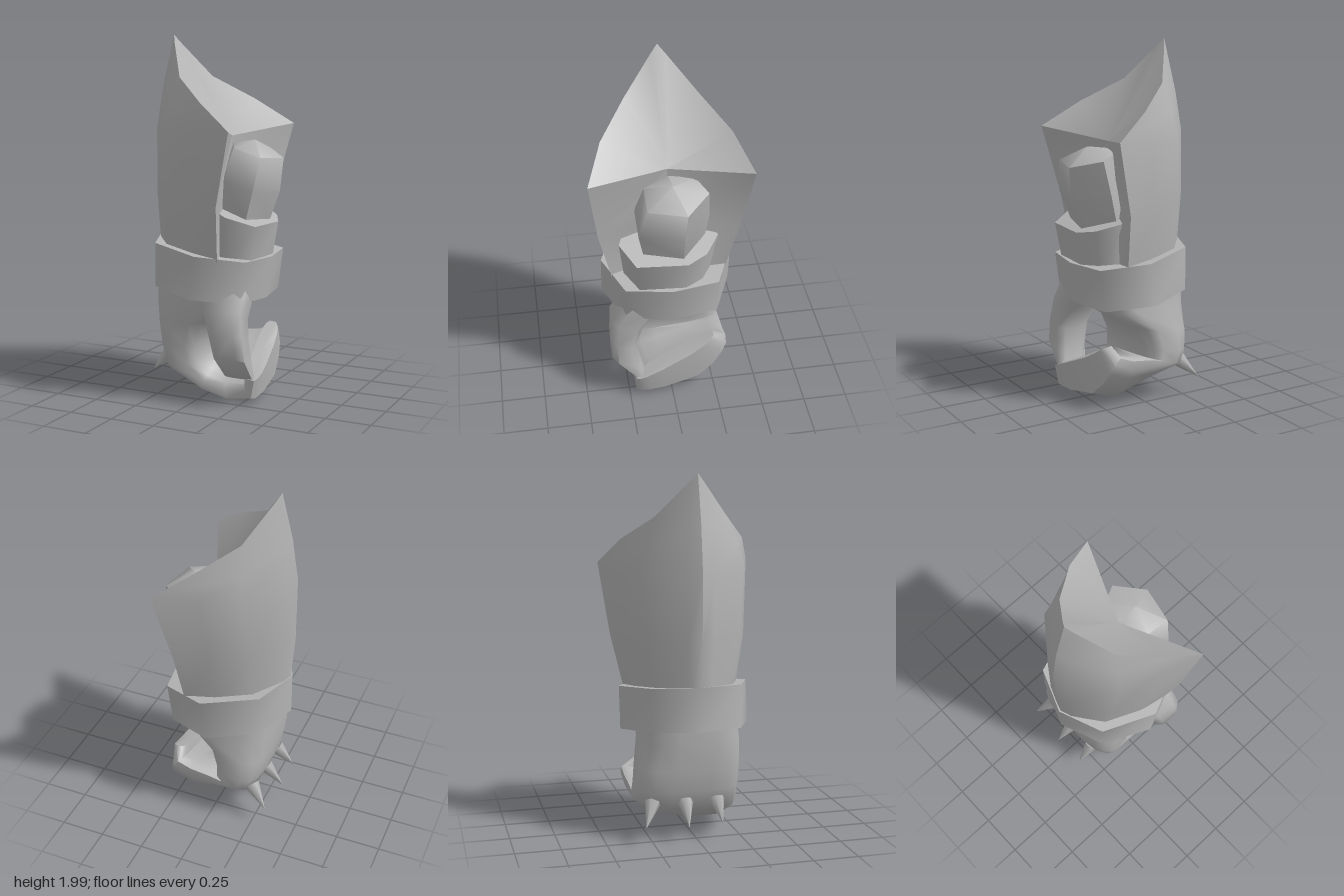
import * as THREE from 'three';
import { toCreasedNormals } from 'three/addons/utils/BufferGeometryUtils.js';

const V = (x, y, z) => new THREE.Vector3(x, y, z);

// Skin closed rings of points into a solid; caps fan out from a ring point or from the middle.
function loft(rings, crease, capIndex = -1) {
  const n = rings[0].length, tris = [];
  for (let r = 0; r < rings.length - 1; r++) {
    for (let i = 0; i < n; i++) {
      const j = (i + 1) % n;
      const [a, b, c, d] = [rings[r][i], rings[r][j], rings[r + 1][j], rings[r + 1][i]];
      tris.push([a, b, c], [a, c, d]);
    }
  }
  const cap = (ring, flip) => {
    const mid = capIndex < 0
      ? ring.reduce((s, p) => s.add(p), V(0, 0, 0)).divideScalar(n)
      : ring[capIndex];
    ring.forEach((p, i) => {
      const q = ring[(i + 1) % n];
      tris.push(flip ? [mid, q, p] : [mid, p, q]);
    });
  };
  cap(rings[0], true);
  cap(rings[rings.length - 1], false);
  const solid = tris.filter(([a, b, c]) => a.distanceTo(b) * b.distanceTo(c) * c.distanceTo(a) > 1e-9);
  // Turn the corners round when the solid came out inside out.
  const volume = solid.reduce((s, [a, b, c]) => s + a.dot(b.clone().cross(c)), 0);
  const points = solid.flatMap(([a, b, c]) => (volume < 0 ? [a, c, b] : [a, b, c]));
  const g = new THREE.BufferGeometry().setFromPoints(points);
  return toCreasedNormals(g, crease);
}

// Rounded-box cross-section with half axes u and v; bulge lowers the outer (+u) side.
function roundRing(c, u, v, n, bulge = 0) {
  const soft = t => Math.sign(t) * Math.abs(t) ** 0.6;
  return Array.from({ length: n }, (_, i) => {
    const a = ((i + 0.5) / n) * Math.PI * 2;
    const s = soft(Math.cos(a)), t = soft(Math.sin(a));
    const p = c.clone().addScaledVector(u, s).addScaledVector(v, t);
    p.y -= bulge * Math.max(s, 0) * (1 - t * t) * (1 - t) / 2;
    return p;
  });
}

export function createModel() {
  const group = new THREE.Group();
  const steel = new THREE.MeshStandardMaterial({ color: 0xb4b4b4 });
  steel.name = 'grey steel';
  const add = (name, geometry) => {
    const mesh = new THREE.Mesh(geometry, steel);
    mesh.name = name;
    group.add(mesh);
    return mesh;
  };

  // Forearm guard: half outlines from the ridge to the side corner, then the inner middle.
  const guardRows = [
    [[-0.34, 0.75, 0], [-0.32, 0.75, 0.06], [-0.21, 0.75, 0.2], [-0.02, 0.75, 0.28], [0.15, 0.75, 0.31], [0.16, 0.75, 0]],
    [[-0.37, 1.13, 0], [-0.345, 1.13, 0.07], [-0.2, 1.12, 0.26], [0, 1.1, 0.34], [0.18, 1.1, 0.39], [0.06, 1.1, 0]],
    [[-0.37, 1.5, 0], [-0.343, 1.49, 0.07], [-0.17, 1.48, 0.29], [0.05, 1.48, 0.355], [0.275, 1.5, 0.44], [0.09, 1.45, 0]],
    [[-0.335, 1.74, 0], [-0.308, 1.71, 0.06], [-0.155, 1.62, 0.255], [0.06, 1.57, 0.355], [0.275, 1.5, 0.44], [0.09, 1.45, 0]],
    [[-0.27, 2, 0], [-0.245, 1.955, 0.04], [-0.13, 1.77, 0.2], [0.07, 1.64, 0.35], [0.275, 1.5, 0.44], [0.09, 1.45, 0]],
  ];
  const guardRings = guardRows.map(row => {
    const half = row.map(p => V(...p));
    const mirrored = [4, 3, 2, 1].map(i => V(half[i].x, half[i].y, -half[i].z));
    return [...half, ...mirrored];
  });
  add('forearmGuard', loft(guardRings, 0.7, 5));

  // Wrist cuff, tilted down toward the palm side
  const cuffOutline = [[-0.36, 0], [-0.26, 0.25], [0.03, 0.37], [0.28, 0.26],
    [0.32, 0], [0.28, -0.26], [0.03, -0.37], [-0.26, -0.25]];
  const cuffRing = (y, tilt, grow) =>
    cuffOutline.map(([x, z]) => V(x + (x > 0 ? grow : 0), y - tilt * (x + 0.36), z));
  add('wristCuff', loft([cuffRing(0.63, 0.1, -0.02), cuffRing(0.875, 0.12, 0.01)], 1.1));

  // Collar around the inner arm
  const collarOutline = [[0.32, 0.2], [0.335, -0.08], [0.28, -0.19], [0.17, -0.27],
    [0, -0.2], [0, 0.2], [0.18, 0.28]];
  const collarRing = (y, tilt, s, dx) =>
    collarOutline.map(([x, z]) => V(x + dx, y - tilt * (x - 0.18), z * s));
  add('armCollar', loft([collarRing(0.72, 0, 0.87, -0.04), collarRing(1.035, 0.37, 1, 0)], 1.1));

  // Inner arm, leaning outward, with a low pointed top
  const armOutline = [[0.15, -0.05], [0.1, 0.165], [-0.06, 0.165], [-0.13, 0.02], [-0.1, -0.13], [0.01, -0.19]];
  const armRing = (y, s, cx, cz) =>
    armOutline.map(([x, z]) => V(cx + x * s, y - x * s * 0.3, cz + z * s));
  add('innerArm', loft([
    armRing(0.8, 0.92, 0.12, -0.01), armRing(1.04, 1, 0.145, -0.01), armRing(1.2, 1.12, 0.185, 0),
    armRing(1.375, 0.96, 0.225, -0.02), armRing(1.43, 0.02, 0.225, -0.01),
  ], 1.05));

  // Hand: outer x,y, inner x,y, z from, z to, slope in y, lean in x along z, bulge; wrist to fingertips
  const handRows = [
    [-0.3, 0.68, 0.27, 0.64, -0.27, 0.27, 0, 0, 0],
    [-0.3, 0.53, 0.22, 0.53, -0.275, 0.28, 0, 0, 0],
    [-0.29, 0.4, 0.06, 0.44, -0.31, 0.27, 0, 0, 0],
    [-0.27, 0.28, 0.01, 0.32, -0.325, 0.26, 0, 0, 0],
    [-0.23, 0.18, 0.01, 0.25, -0.33, 0.25, 0.1, 0, 0.02],
    [0, 0.11, 0.04, 0.23, -0.33, 0.23, 0.3, 0, 0.1],
    [0.15, 0.09, 0.13, 0.22, -0.33, 0.215, 0.4, 0.04, 0.16],
    [0.3, 0.13, 0.21, 0.23, -0.33, 0.215, 0.44, 0.12, 0.16],
    [0.32, 0.25, 0.22, 0.26, -0.25, 0.215, 0.48, 0.15, 0.03],
  ];
  add('fist', loft(handRows.map(([ox, oy, ix, iy, z0, z1, slope, lean, bulge]) => {
    const half = (z1 - z0) / 2;
    return roundRing(
      V((ox + ix) / 2, (oy + iy) / 2, (z0 + z1) / 2),
      V((ox - ix) / 2, (oy - iy) / 2, 0),
      V(lean * half, -slope * half, half), 16, bulge);
  }), 1.0));

  // Thumb: centre x,y,z, then half width in x and half depth in z
  const thumbRows = [
    [0.16, 0.64, 0.15, 0.12, 0.1],
    [0.17, 0.5, 0.25, 0.115, 0.09],
    [0.2, 0.38, 0.275, 0.105, 0.075],
    [0.22, 0.25, 0.262, 0.095, 0.088],
    [0.23, 0.14, 0.19, 0.085, 0.04],
  ];
  add('thumb', loft(thumbRows.map(([x, y, z, w, d]) =>
    roundRing(V(x, y, z), V(w, 0, 0), V(0, d * 0.4, d), 8)), 1.1));

  // Knuckle spikes, from base to tip
  const spikes = [
    [V(-0.22, 0.22, -0.24), V(-0.325, 0.11, -0.3)],
    [V(-0.235, 0.22, -0.06), V(-0.35, 0.105, -0.065)],
    [V(-0.235, 0.22, 0.12), V(-0.345, 0.11, 0.125)],
  ];
  for (const [base, tip] of spikes) {
    const along = tip.clone().sub(base);
    const spike = add('knuckleSpike', new THREE.ConeGeometry(0.045, along.length(), 6));
    spike.position.copy(base).lerp(tip, 0.5);
    spike.quaternion.setFromUnitVectors(V(0, 1, 0), along.normalize());
  }
  return group;
}
